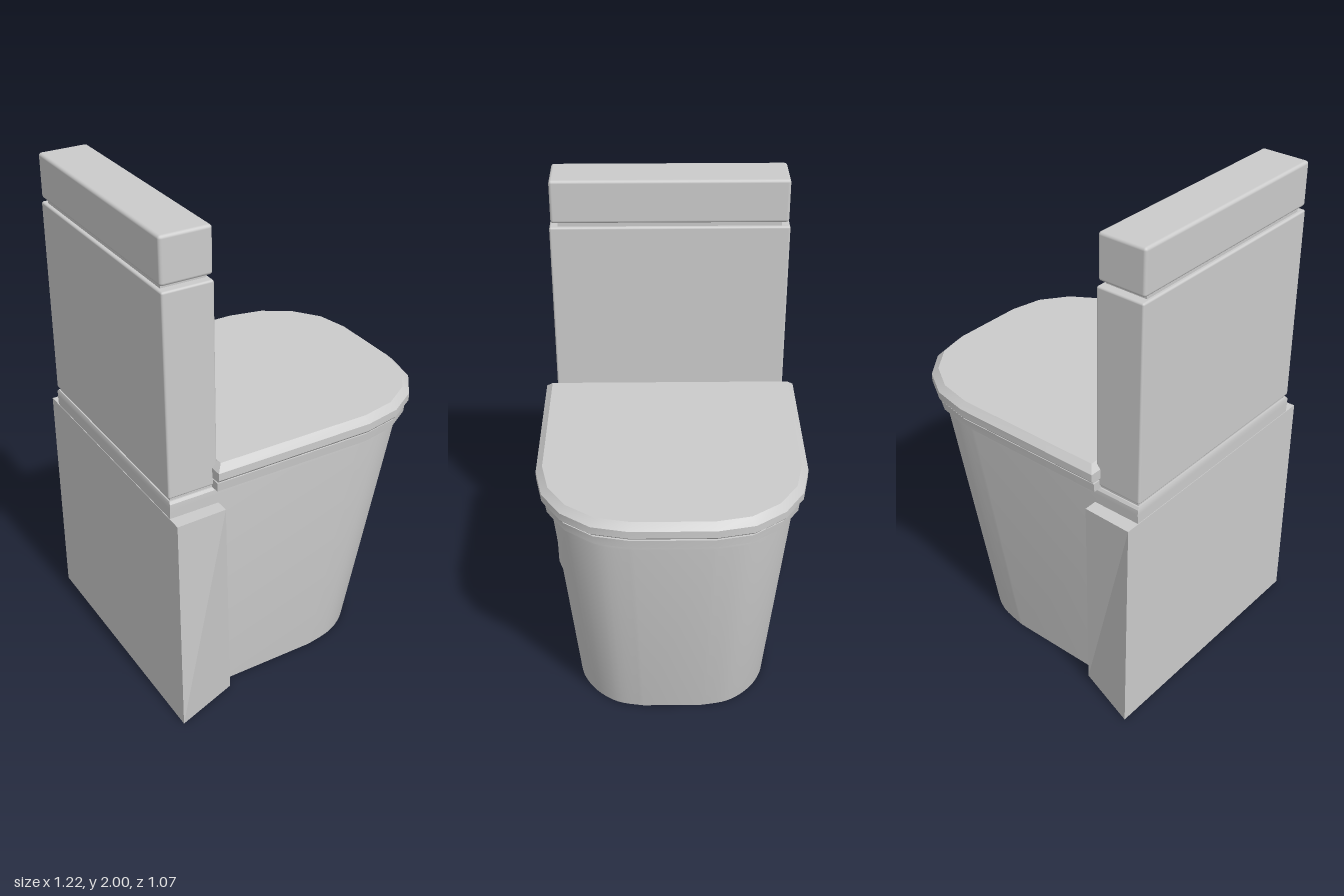
import * as THREE from 'three';
import { toCreasedNormals } from 'three/addons/utils/BufferGeometryUtils.js';
import { RoundedBoxGeometry } from 'three/addons/geometries/RoundedBoxGeometry.js';

const material = new THREE.MeshStandardMaterial({ color: 0xcccccc });

// Front curve from the side (0, 1) to the nose (1, ~0.3), in unit form
const FRONT = [[0, 1], [0.39, 0.94], [0.7, 0.795], [0.92, 0.575], [1, 0.305]];
const smoothCurve = new THREE.SplineCurve(FRONT.map(([x, z]) => new THREE.Vector2(x, z)));
const SMOOTH = smoothCurve.getPoints(20).map((p) => [p.x, p.y]);

// D-shaped outline: straight sides from back to start, then the curve to the nose
function outline(curve, back, start, nose, half) {
  const side = [[back, half], ...curve.map(([u, v]) => [start + u * (nose - start), v * half])];
  return [...side, ...side.map(([x, z]) => [x, -z]).reverse()];
}

// Capped skin through convex [x, z] loops stacked at given heights
function loft(levels, crease = 0.5) {
  const pos = [], index = [], n = levels[0].loop.length;
  for (const { y, loop } of levels) for (const [x, z] of loop) pos.push(x, y, z);
  for (let k = 0; k < levels.length - 1; k++) {
    for (let i = 0; i < n; i++) {
      const j = (i + 1) % n, a = k * n + i, b = k * n + j;
      index.push(a, b, b + n, a, b + n, a + n);
    }
  }
  const top = (levels.length - 1) * n;
  for (let i = 1; i < n - 1; i++) {
    index.push(0, i + 1, i);
    index.push(top, top + i, top + i + 1);
  }
  const geo = new THREE.BufferGeometry();
  geo.setAttribute('position', new THREE.Float32BufferAttribute(pos, 3));
  geo.setIndex(index);
  return toCreasedNormals(geo, crease);
}

export function createModel() {
  const group = new THREE.Group();
  const add = (name, geometry, x = 0, y = 0, z = 0) => {
    const mesh = new THREE.Mesh(geometry, material);
    mesh.name = name;
    mesh.position.set(x, y, z);
    group.add(mesh);
  };

  // Tapering bowl body with a softened rim
  add('bowl', loft([
    { y: 0, loop: outline(SMOOTH, -0.608, 0.06, 0.37, 0.4) },
    { y: 0.97, loop: outline(SMOOTH, -0.608, 0.2, 0.565, 0.478) },
    { y: 0.99, loop: outline(SMOOTH, -0.608, 0.2, 0.565, 0.477) },
    { y: 1.0, loop: outline(SMOOTH, -0.605, 0.2, 0.557, 0.47) },
  ]));

  // Wider plinth at the back, its cheeks leaning in towards the front
  add('backPlinth', loft([
    { y: 0, loop: [[-0.61, 0.533], [-0.35, 0.445], [-0.35, -0.445], [-0.61, -0.533]] },
    { y: 0.93, loop: [[-0.61, 0.533], [-0.41, 0.528], [-0.41, -0.528], [-0.61, -0.533]] },
  ], 0.3));

  // Seat ring and the slightly larger chamfered cover
  add('seat', loft([
    { y: 1.0, loop: outline(FRONT, -0.43, 0.22, 0.59, 0.503) },
    { y: 1.035, loop: outline(FRONT, -0.43, 0.22, 0.593, 0.506) },
  ]));
  add('seatGap', loft([
    { y: 1.035, loop: outline(FRONT, -0.425, 0.22, 0.58, 0.493) },
    { y: 1.045, loop: outline(FRONT, -0.425, 0.22, 0.58, 0.493) },
  ]));
  add('seatCover', loft([
    { y: 1.045, loop: outline(FRONT, -0.433, 0.22, 0.597, 0.513) },
    { y: 1.055, loop: outline(FRONT, -0.433, 0.22, 0.606, 0.521) },
    { y: 1.085, loop: outline(FRONT, -0.433, 0.22, 0.606, 0.521) },
    { y: 1.11, loop: outline(FRONT, -0.41, 0.22, 0.58, 0.495) },
  ]));

  // Tank, with shadow gaps below it and below its lid
  add('tankFoot', new THREE.BoxGeometry(0.18, 0.03, 0.93), -0.51, 1.005);
  add('tank', new RoundedBoxGeometry(0.197, 0.797, 0.948, 2, 0.008), -0.511, 1.41);
  add('tankNeck', new THREE.BoxGeometry(0.17, 0.04, 0.88), -0.511, 1.82);
  add('tankLid', new RoundedBoxGeometry(0.197, 0.175, 0.936, 2, 0.012), -0.511, 1.9125);

  return group;
}
